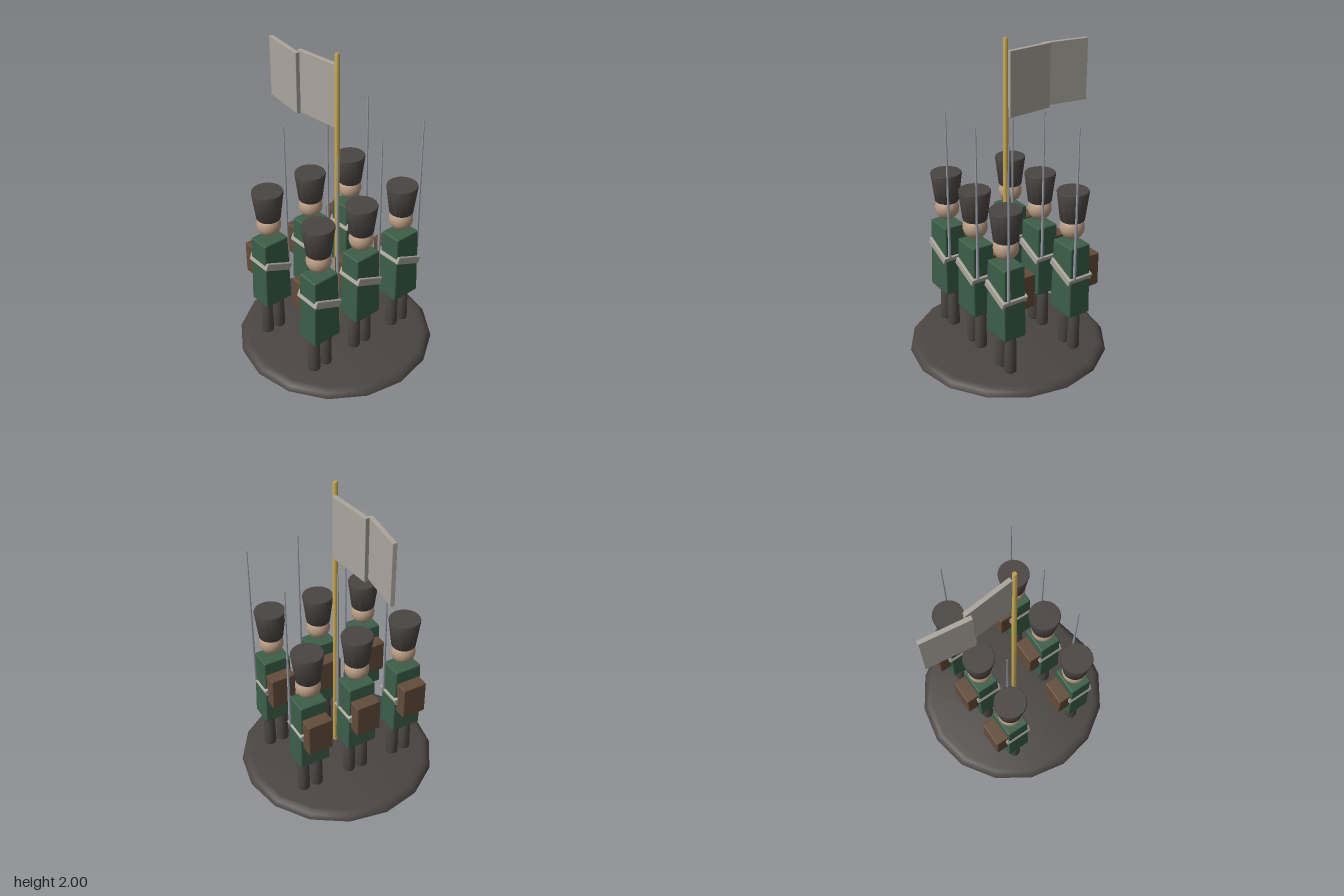
import * as THREE from 'three';
import { toCreasedNormals } from 'three/addons/utils/BufferGeometryUtils.js';
import { RoundedBoxGeometry } from 'three/addons/geometries/RoundedBoxGeometry.js';

const material = (name, color) => {
  const m = new THREE.MeshStandardMaterial({ color });
  m.name = name;
  return m;
};

const charcoal = material('charcoal', 0x4a4543);
const green = material('coat green', 0x3c5f49);
const skin = material('skin', 0xb89b82);
const stone = material('pale stone', 0xaaa69d);
const leather = material('brown leather', 0x634c3a);
const steel = material('steel', 0x9a9fa8);
const brass = material('brass', 0xbd9f4e);

function part(parent, name, geometry, mat, x = 0, y = 0, z = 0) {
  const mesh = new THREE.Mesh(geometry, mat);
  mesh.name = name;
  mesh.position.set(x, y, z);
  parent.add(mesh);
  return mesh;
}

// Turned solid from [radius, height] pairs, bottom to top
function turned(profile, sides) {
  const points = profile.map(([r, y]) => new THREE.Vector2(r, y));
  return toCreasedNormals(new THREE.LatheGeometry(points, sides), 0.7);
}

// Softened box whose top narrows to the given factors
function taperedBox(w, h, d, topX, topZ) {
  const g = new RoundedBoxGeometry(w, h, d, 2, 0.009);
  const p = g.attributes.position;
  for (let i = 0; i < p.count; i++) {
    const t = p.getY(i) / h + 0.5;
    p.setX(i, p.getX(i) * (1 + (topX - 1) * t));
    p.setZ(i, p.getZ(i) * (1 + (topZ - 1) * t));
  }
  return g;
}

const shapes = {
  leg: turned([[0, 0.065], [0.033, 0.065], [0.038, 0.07], [0.039, 0.08],
    [0.035, 0.318], [0.032, 0.325], [0, 0.325]], 16),
  coat: taperedBox(0.2, 0.468, 0.154, 0.88, 0.92),
  belt: new RoundedBoxGeometry(0.206, 0.05, 0.175, 2, 0.006),
  pack: new RoundedBoxGeometry(0.16, 0.216, 0.09, 2, 0.007),
  head: new THREE.SphereGeometry(0.076, 24, 16),
  hat: turned([[0, 0.932], [0.07, 0.932], [0.075, 0.938], [0.098, 1.118],
    [0.095, 1.125], [0, 1.125]], 24),
  blade: new THREE.CylinderGeometry(0.004, 0.01, 0.965, 8),
};

function makeSoldier() {
  const s = new THREE.Group();
  s.name = 'soldier';
  for (const side of [-1, 1]) part(s, 'leg', shapes.leg, charcoal, side * 0.046);
  part(s, 'coat', shapes.coat, green, 0, 0.553, 0);
  part(s, 'belt', shapes.belt, stone, 0.002, 0.602, 0).rotation.z = -0.4;
  part(s, 'backpack', shapes.pack, leather, 0, 0.592, -0.108);
  part(s, 'head', shapes.head, skin, 0, 0.885, 0);
  part(s, 'hat', shapes.hat, charcoal);
  part(s, 'blade', shapes.blade, steel, 0.101, 1.068, 0.05);
  return s;
}

// Flag panel running between two plan points
function flagPanel(parent, a, b, height) {
  const dx = b[0] - a[0], dz = b[1] - a[1];
  const g = new RoundedBoxGeometry(0.027, height, Math.hypot(dx, dz), 1, 0.003);
  part(parent, 'flagPanel', g, stone, (a[0] + b[0]) / 2, 1.727, (a[1] + b[1]) / 2)
    .rotation.y = Math.atan2(dx, dz);
}

export function createModel() {
  const model = new THREE.Group();
  model.name = 'soldierGroup';

  // Sixteen-sided plinth with a rounded rim
  part(model, 'base', turned([[0, 0], [0.634, 0], [0.63, 0.012], [0.615, 0.03],
    [0.598, 0.041], [0.575, 0.046], [0, 0.046]], 16), charcoal);

  // Two ranks of three
  for (const z of [0.237, -0.24]) {
    for (const x of [-0.33, 0, 0.33]) {
      const soldier = makeSoldier();
      soldier.position.set(x, 0, z);
      model.add(soldier);
    }
  }

  // Standard
  const flag = new THREE.Group();
  flag.name = 'standard';
  model.add(flag);
  part(flag, 'pole', turned([[0, 0.095], [0.018, 0.095], [0.0145, 1.993],
    [0.011, 2], [0, 2]], 12), brass, 0, 0, 0.016);
  flagPanel(flag, [0.014, 0.003], [-0.014, -0.302], 0.397);
  flagPanel(flag, [-0.047, -0.275], [-0.007, -0.577], 0.386);

  return model;
}
